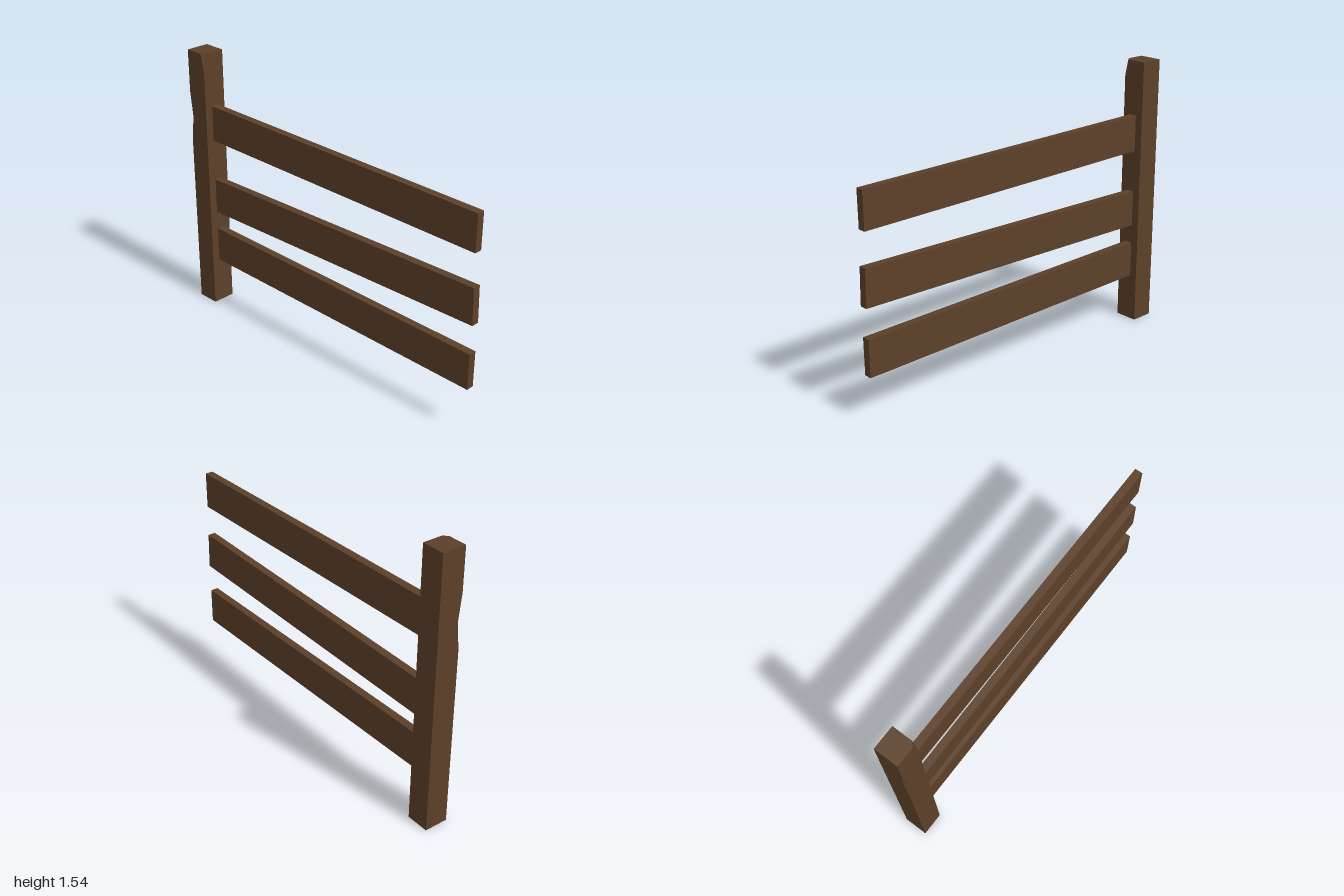
import * as THREE from 'three';

const wood = new THREE.MeshStandardMaterial({ color: 0x5c4029, flatShading: true });

// Square post lofted from six-point sections; "nick" bevels the outer front edge,
// "chip" bevels the front edge on the rail side.
function postGeometry() {
  const x0 = -1, x1 = -0.87, z = 0.067;
  const levels = [
    { y: 0, nick: 0, chip: 0 },
    { y: 0.99, nick: 0, chip: 0 },
    { y: 1.16, nick: 0.016, chip: 0 },
    { y: 1.3, nick: 0, chip: 0 },
    { y: 1.45, nick: 0, chip: 0 },
    { y: 1.54, nick: 0, chip: 0.023 },
  ];
  const loops = levels.map(({ y, nick, chip }) => [
    [x0, -z], [x0, z - nick], [x0 + nick, z],
    [x1 - chip, z], [x1, z - chip], [x1, -z],
  ].map(([px, pz]) => new THREE.Vector3(px, y, pz)));

  const positions = [];
  const tri = (a, b, c) => {
    if (new THREE.Triangle(a, b, c).getArea() < 1e-8) return; // collapsed bevel
    for (const p of [a, b, c]) positions.push(p.x, p.y, p.z);
  };
  for (let l = 0; l < loops.length - 1; l++) {
    const low = loops[l], high = loops[l + 1];
    for (let i = 0; i < 6; i++) {
      const j = (i + 1) % 6;
      tri(low[i], low[j], high[j]);
      tri(low[i], high[j], high[i]);
    }
  }
  // End caps
  const bottom = loops[0], top = loops[loops.length - 1];
  for (let i = 1; i < 5; i++) {
    tri(top[0], top[i], top[i + 1]);
    tri(bottom[0], bottom[i + 1], bottom[i]);
  }
  const geometry = new THREE.BufferGeometry();
  geometry.setAttribute('position', new THREE.Float32BufferAttribute(positions, 3));
  geometry.computeVertexNormals();
  return geometry;
}

// Plank whose centre line runs from the post to its free end
function rail(name, startY, endY, endX) {
  const startX = -0.88;
  const dx = endX - startX, dy = endY - startY;
  const mesh = new THREE.Mesh(new THREE.BoxGeometry(Math.hypot(dx, dy), 0.205, 0.044), wood);
  mesh.position.set((startX + endX) / 2, (startY + endY) / 2, 0);
  mesh.rotation.z = Math.atan2(dy, dx);
  mesh.name = name;
  return mesh;
}

export function createModel() {
  const group = new THREE.Group();
  group.name = 'fenceSection';

  const post = new THREE.Mesh(postGeometry(), wood);
  post.name = 'post';
  group.add(post);

  group.add(
    rail('topRail', 1.131, 1.115, 0.989),
    rail('middleRail', 0.686, 0.728, 0.997),
    rail('bottomRail', 0.374, 0.36, 0.995),
  );
  return group;
}
